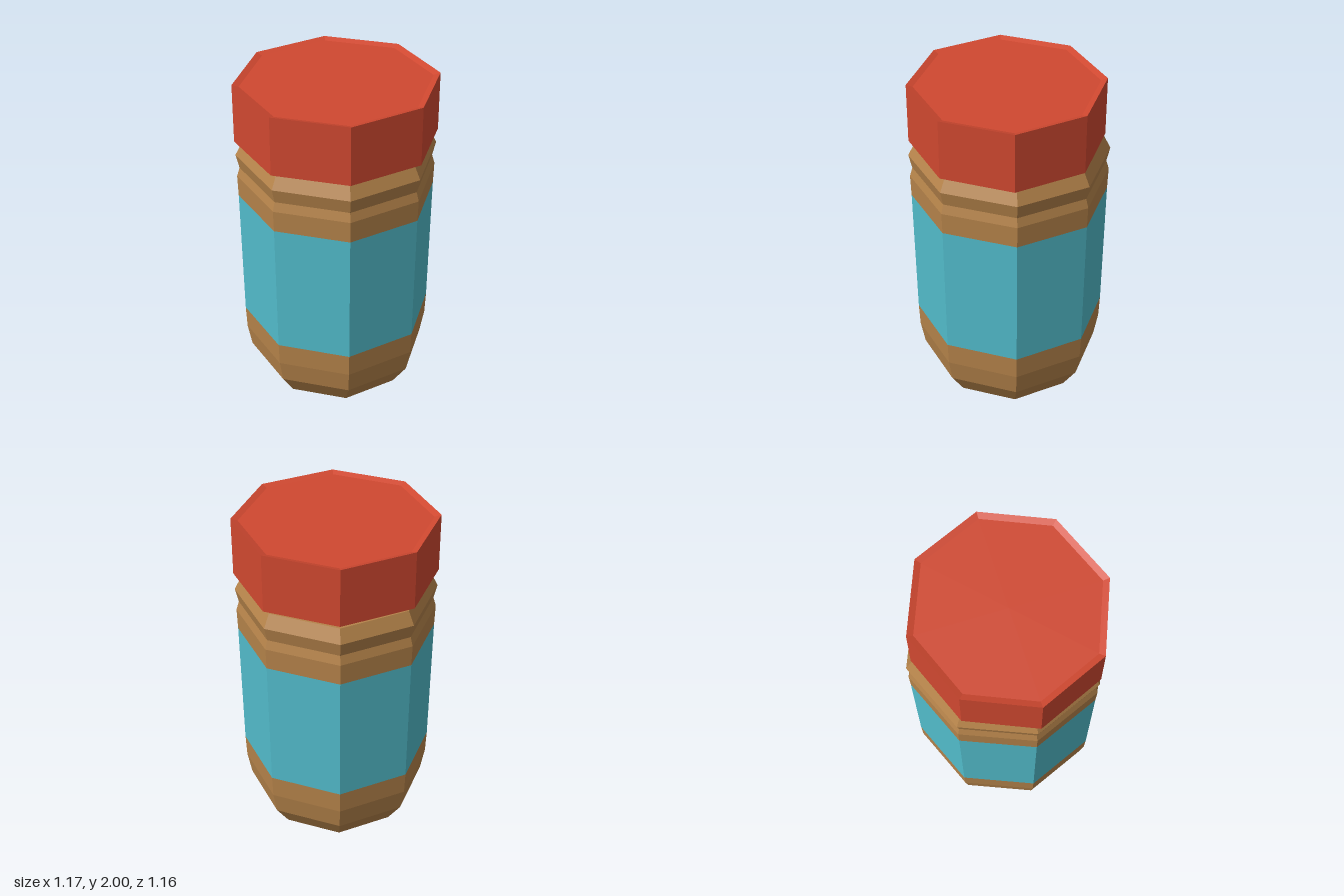
import * as THREE from 'three';

const SIDES = 8;

// Faceted ring or solid turned from a [radius, y] profile, listed bottom to top
function turned(name, color, profile) {
  const points = profile.map(([r, y]) => new THREE.Vector2(r, y));
  const material = new THREE.MeshStandardMaterial({ color, flatShading: true });
  const mesh = new THREE.Mesh(new THREE.LatheGeometry(points, SIDES), material);
  mesh.name = name;
  return mesh;
}

export function createModel() {
  const model = new THREE.Group();
  model.name = 'jar';
  const brown = 0xb5834a, teal = 0x52bccb, red = 0xd04830;

  // Rounded base with a shallow recess underneath
  const base = turned('jarBase', brown, [
    [0, 0.02], [0.3, 0.02], [0.36, 0], [0.437, 0.05],
    [0.53, 0.19], [0.556, 0.33], [0.562, 0.47],
  ]);

  // Wrapped label, flush with the glass
  const label = turned('label', teal, [[0.562, 0.47], [0.572, 1.28]]);

  // Shoulder with a pinched groove, closed at the top
  const shoulder = turned('jarShoulder', brown, [
    [0.572, 1.28], [0.576, 1.41], [0.56, 1.465],
    [0.58, 1.55], [0.54, 1.63], [0, 1.63],
  ]);

  // Lid hovering just above the jar, slightly narrower front to back,
  // with a shallow dished top
  const lid = turned('lid', red, [
    [0, 1.645], [0.584, 1.645], [0.584, 2], [0.545, 1.988], [0, 1.988],
  ]);
  lid.scale.z = 0.96;
  lid.position.z = 0.014;

  model.add(base, label, shoulder, lid);
  return model;
}
